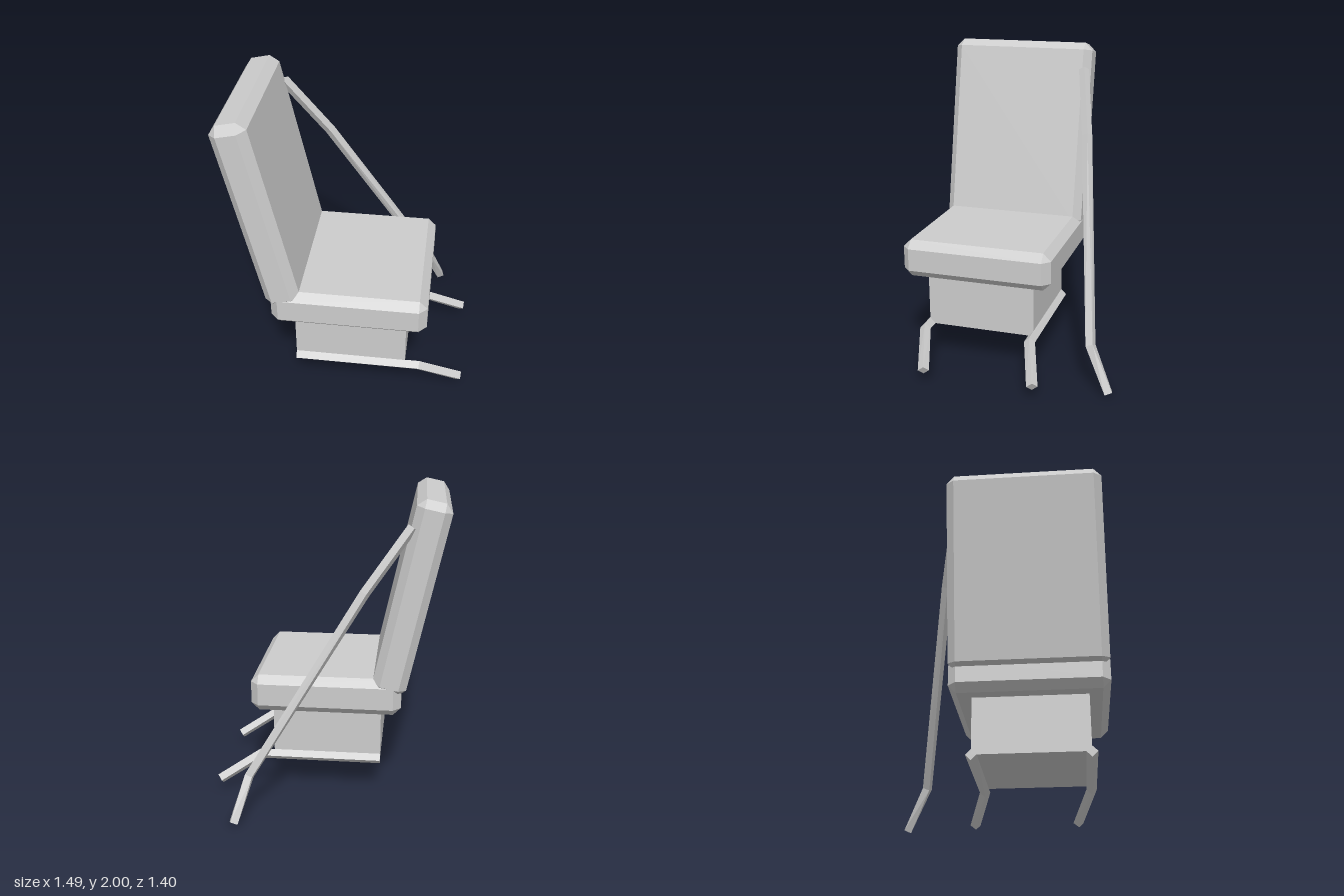
import * as THREE from 'three';
import { ConvexGeometry } from 'three/addons/geometries/ConvexGeometry.js';

const V = (x, y, z) => new THREE.Vector3(x, y, z);

// Box with every edge and corner cut off by c
function chamferedBox(w, h, d, c) {
  const points = [];
  const [x, y, z] = [w / 2, h / 2, d / 2];
  for (const sx of [-1, 1]) for (const sy of [-1, 1]) for (const sz of [-1, 1]) {
    points.push(
      V(sx * x, sy * (y - c), sz * (z - c)),
      V(sx * (x - c), sy * y, sz * (z - c)),
      V(sx * (x - c), sy * (y - c), sz * z));
  }
  return new ConvexGeometry(points);
}

// Square bar standing on its edge, swept along a path with mitred bends
function bentBar(path, r) {
  const last = path.length - 1;
  const dir = i => path[i + 1].clone().sub(path[i]).normalize();
  const rings = path.map((p, i) => {
    const a = dir(Math.max(i - 1, 0));
    const b = dir(Math.min(i, last - 1));
    const t = a.clone().add(b).normalize();
    const up = V(0, 1, 0).addScaledVector(t, -t.y).normalize();
    const side = t.clone().cross(up);
    return [0, 1, 2, 3].map(k => p.clone()
      .addScaledVector(up, r * Math.cos(k * Math.PI / 2) / t.dot(a))
      .addScaledVector(side, r * Math.sin(k * Math.PI / 2)));
  });
  const pos = [];
  const quad = (a, b, c, d) => [a, b, c, a, c, d].forEach(v => pos.push(v.x, v.y, v.z));
  for (let i = 0; i < last; i++) for (let k = 0; k < 4; k++) {
    const n = (k + 1) % 4;
    quad(rings[i][k], rings[i][n], rings[i + 1][n], rings[i + 1][k]);
  }
  quad(...[...rings[0]].reverse());
  quad(...rings[last]);
  const geometry = new THREE.BufferGeometry();
  geometry.setAttribute('position', new THREE.Float32BufferAttribute(pos, 3));
  geometry.computeVertexNormals();
  return geometry;
}

export function createModel() {
  const model = new THREE.Group();
  model.name = 'seat';
  const grey = new THREE.MeshStandardMaterial({ color: 0xcccccc });
  grey.name = 'light grey';
  grey.flatShading = true;

  const add = (name, geometry, x = 0, y = 0, z = 0) => {
    const mesh = new THREE.Mesh(geometry, grey);
    mesh.name = name;
    mesh.position.set(x, y, z);
    model.add(mesh);
    return mesh;
  };

  // Cushions
  add('seatCushion', chamferedBox(0.97, 0.245, 0.975, 0.05), 0.015, 0.7275, 0.2125);
  const back = add('backrest', chamferedBox(0.221, 1.263, 0.975, 0.05), -0.515, 1.368, 0.2125);
  back.rotation.z = THREE.MathUtils.degToRad(12.2);

  // Pedestal
  add('pedestal', new THREE.BoxGeometry(0.71, 0.37, 0.71), 0.015, 0.43, 0.215);

  // Floor rails with down-turned ends
  for (const [name, z] of [['leftRail', -0.14], ['rightRail', 0.57]]) {
    add(name, bentBar([V(-0.34, 0.245, z), V(0.455, 0.245, z), V(0.725, 0.09, z - 0.095)], 0.035));
  }

  // Side strut from the backrest to the floor
  add('sideStrut', bentBar([
    V(-0.51, 1.83, -0.235), V(-0.235, 1.44, -0.328),
    V(0.466, 0.285, -0.535), V(0.549, 0.018, -0.672),
  ], 0.034));

  return model;
}
